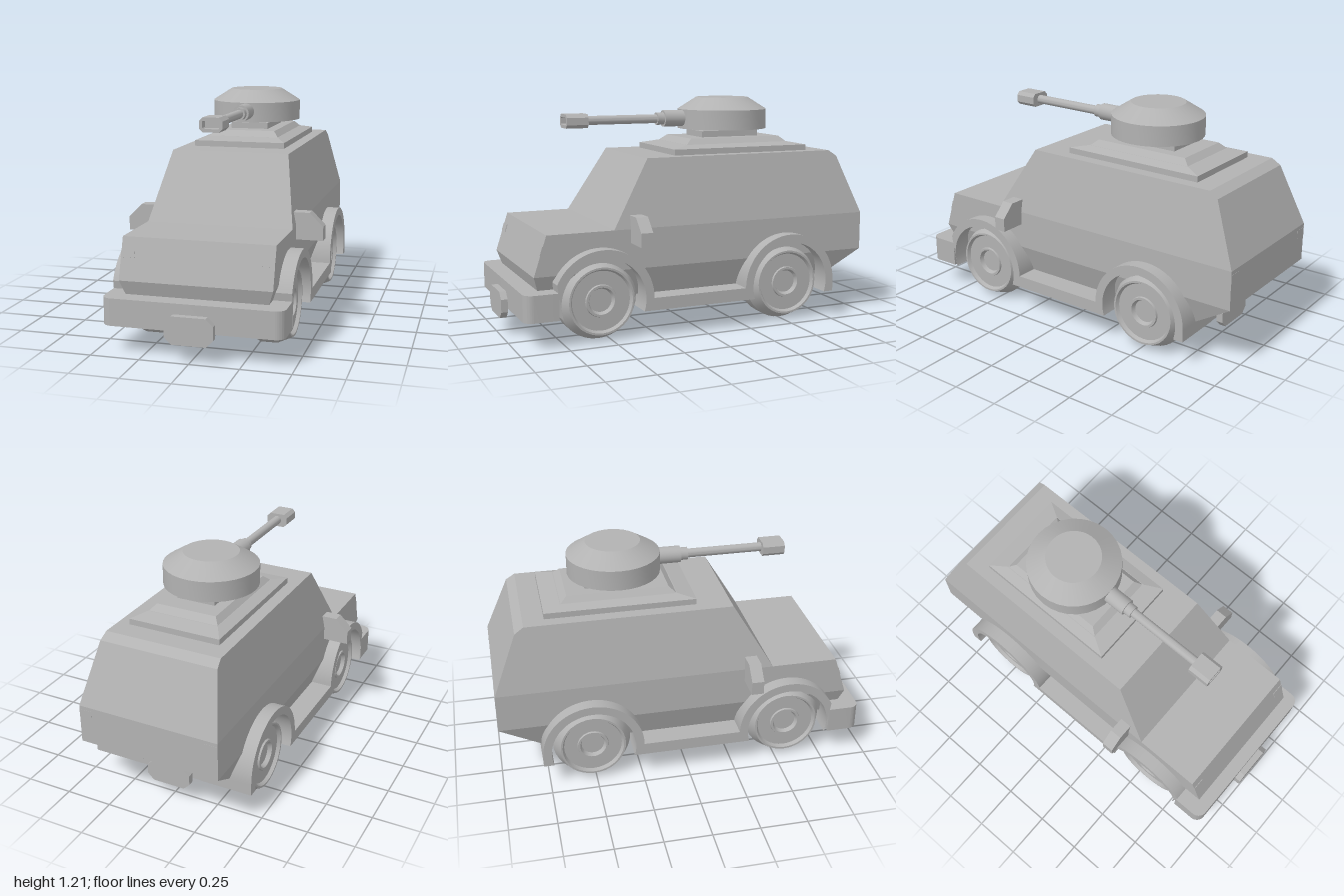
import * as THREE from 'three';
import { toCreasedNormals } from 'three/addons/utils/BufferGeometryUtils.js';

export function createModel() {
  const root = new THREE.Group();
  root.name = 'armouredCar';
  const grey = new THREE.MeshStandardMaterial({ color: 0xb2b2b2 });
  grey.name = 'paint grey';

  const add = (name, geo, crease = 0.5) => {
    const mesh = new THREE.Mesh(toCreasedNormals(geo, crease), grey);
    mesh.name = name;
    root.add(mesh);
    return mesh;
  };
  const poly = (pts) => new THREE.Shape(pts.map(([a, b]) => new THREE.Vector2(a, b)));
  const extrude = (shape, depth) =>
    new THREE.ExtrudeGeometry(shape, { depth, bevelEnabled: false, curveSegments: 20 });
  // Side outline (z, y) extruded between two x positions
  const sideExtrude = (shape, x0, x1) =>
    extrude(shape, x1 - x0).rotateY(-Math.PI / 2).translate(x1, 0, 0);
  const box = (name, x, y0, y1, z0, z1) =>
    add(name, new THREE.BoxGeometry(2 * x, y1 - y0, z1 - z0).translate(0, (y0 + y1) / 2, (z0 + z1) / 2));
  // Rectangle with cut corners
  const octagon = (w, h, c) => [
    [-w, -h + c], [-w + c, -h], [w - c, -h], [w, -h + c],
    [w, h - c], [w - c, h], [-w + c, h], [-w, h - c],
  ];

  // Hull bands: each outline is extruded to unit half width, then narrowed by height
  const hull = (name, pts, y0, w0, y1, w1) => {
    const geo = sideExtrude(poly(pts), -1, 1);
    const p = geo.attributes.position;
    for (let i = 0; i < p.count; i++) {
      const t = (p.getY(i) - y0) / (y1 - y0);
      p.setX(i, p.getX(i) * (w0 + (w1 - w0) * t));
    }
    add(name, geo, 0.3);
  };
  hull('lowerHull', [[0.85, 0.21], [0.897, 0.355], [-1, 0.355], [-0.78, 0.21]], 0.21, 0.335, 0.355, 0.385);
  hull('hoodAndSides', [[0.897, 0.355], [0.83, 0.562], [-1, 0.562], [-1, 0.355]], 0.355, 0.385, 0.562, 0.385);
  hull('cabin', [[0.475, 0.562], [0.265, 0.912], [-0.825, 0.912], [-0.872, 0.88], [-1, 0.562]],
    0.562, 0.385, 0.912, 0.315);

  // Floor and front bumper with rounded corners
  box('floor', 0.172, 0.145, 0.3, -0.78, 0.82);
  const bumper = new THREE.Shape();
  bumper.moveTo(-0.455, -0.79);
  bumper.lineTo(-0.455, -0.915);
  bumper.absarc(-0.405, -0.915, 0.05, Math.PI, Math.PI * 1.5, false);
  bumper.absarc(0.405, -0.915, 0.05, Math.PI * 1.5, Math.PI * 2, false);
  bumper.lineTo(0.455, -0.79);
  add('frontBumper', extrude(bumper, 0.138).rotateX(-Math.PI / 2).translate(0, 0.145, 0));

  // Sills with wheel arches
  const FRONT = 0.555, REAR = -0.512, AXLE = 0.21, OUT = 0.27, IN = 0.225;
  const arch = new THREE.Shape();
  arch.moveTo(0.8, 0.145);
  arch.absarc(FRONT, AXLE, OUT, 0.433, Math.PI, false);
  arch.absarc(REAR, AXLE, OUT, 0, Math.PI, false);
  arch.lineTo(REAR - OUT, 0.145);
  arch.absarc(REAR, AXLE, IN, Math.PI + 0.293, -0.293, true);
  arch.absarc(FRONT, AXLE, IN, Math.PI + 0.293, -0.293, true);

  // Wheel profile: radius, distance from the car's centre line
  const tyre = [
    [0, 0.175], [0.172, 0.175], [0.195, 0.235], [0.21, 0.26], [0.21, 0.345], [0.175, 0.42],
    [0.165, 0.42], [0.155, 0.402], [0.085, 0.402], [0.082, 0.412], [0.07, 0.412], [0.06, 0.39], [0, 0.39],
  ].map(([r, d]) => new THREE.Vector2(r, d));

  for (const s of [1, -1]) {
    const side = s > 0 ? 'left' : 'right';
    add(side + 'SillAndArches', s > 0 ? sideExtrude(arch, 0.17, 0.455) : sideExtrude(arch, -0.455, -0.17));
    for (const [end, z] of [['Front', FRONT], ['Rear', REAR]]) {
      const wheel = new THREE.LatheGeometry(tyre, 36).rotateZ(-s * Math.PI / 2).translate(0, AXLE, z);
      add(side + end + 'Wheel', wheel, 0.4);
    }
    // Side mirror
    const mirror = poly([[0.37, 0.49], [0.525, 0.49], [0.525, 0.562], [0.455, 0.632], [0.37, 0.632]]
      .map(([x, y]) => [s * x, y]));
    add(side + 'Mirror', extrude(mirror, 0.065).translate(0, 0, 0.32));
    // Lamp strips at the hull corners
    const lamp = (name, y, z, tilt) => {
      const geo = new THREE.BoxGeometry(0.07, 0.045, 0.006).rotateX(tilt).translate(s * 0.35, y, z);
      add(side + name, geo);
    };
    lamp('FrontLamp', 0.485, 0.855, -0.313);
    lamp('RearLamp', 0.52, -0.998, 0);
  }

  // Number plates
  add('frontPlate', extrude(poly(octagon(0.122, 0.07, 0.036)), 0.035).translate(0, 0.16, 0.965));
  add('rearPlate', extrude(poly(octagon(0.122, 0.06, 0.034)), 0.036).translate(0, 0.15, -0.816));

  // Roof hatch: tapered rectangular steps
  const step = (name, y0, y1, [x0, b0, f0], [x1, b1, f1]) => {
    const geo = new THREE.BoxGeometry(2, 1, 1);
    const p = geo.attributes.position;
    for (let i = 0; i < p.count; i++) {
      const [x, b, f] = p.getY(i) > 0 ? [x1, b1, f1] : [x0, b0, f0];
      p.setXYZ(i, p.getX(i) * x, p.getY(i) > 0 ? y1 : y0, p.getZ(i) > 0 ? f : b);
    }
    add(name, geo, 0.1);
  };
  step('roofPlate', 0.9, 0.943, [0.25, -0.715, 0.082], [0.25, -0.715, 0.082]);
  step('roofPlateTop', 0.943, 0.96, [0.25, -0.715, 0.082], [0.195, -0.625, -0.01]);
  step('hatch', 0.955, 0.99, [0.197, -0.627, -0.008], [0.165, -0.587, -0.05]);
  box('turretBase', 0.105, 0.985, 1.023, -0.485, -0.145);

  // Turret
  const TZ = -0.315;
  const lathe = (name, pts, seg) => add(name, new THREE.LatheGeometry(
    pts.map(([r, y]) => new THREE.Vector2(r, y)), seg).translate(0, 0, TZ), 0.3);
  lathe('turretNeck', [[0.1, 1.01], [0.1, 1.04]], 32);
  lathe('turret', [[0, 1.033], [0.248, 1.033], [0.248, 1.14], [0.145, 1.205], [0, 1.205]], 32);

  // Gun
  const GY = 1.092;
  const tube = (name, r, z0, z1) => add(name, new THREE.CylinderGeometry(r, r, z1 - z0, 20)
    .rotateX(Math.PI / 2).translate(0, GY, (z0 + z1) / 2));
  tube('gunMount', 0.045, -0.15, 0.045);
  tube('gunCollar', 0.034, 0.045, 0.085);
  tube('barrel', 0.024, 0.08, 0.5);
  const muzzle = poly(octagon(0.06, 0.037, 0.018));
  const bore = poly(octagon(0.043, 0.02, 0.005));
  add('muzzleBack', extrude(muzzle, 0.07).translate(0, GY, 0.493));
  muzzle.holes.push(bore);
  add('muzzleRim', extrude(muzzle, 0.05).translate(0, GY, 0.563));

  return root;
}
